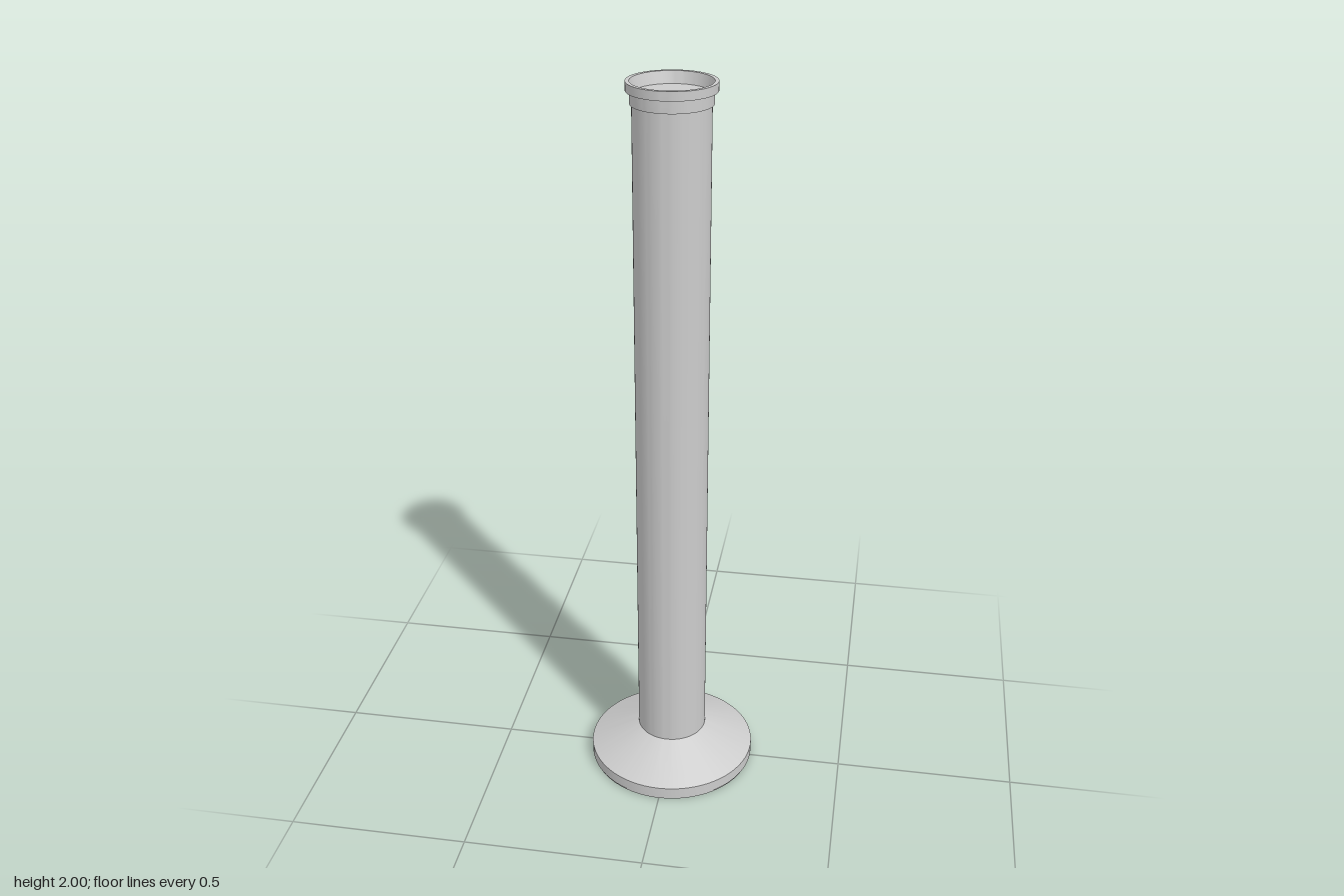
import * as THREE from 'three';
import { toCreasedNormals } from 'three/addons/utils/BufferGeometryUtils.js';

const SEGMENTS = 72;
const material = new THREE.MeshStandardMaterial({ color: 0xcccccc });

// Turned part from [radius, height] pairs, outside surface running upwards
function turned(name, profile) {
  const points = profile.map(([r, y]) => new THREE.Vector2(r, y));
  const geometry = toCreasedNormals(new THREE.LatheGeometry(points, SEGMENTS), Math.PI / 9);
  const mesh = new THREE.Mesh(geometry, material);
  mesh.name = name;
  return mesh;
}

export function createModel() {
  const model = new THREE.Group();
  model.name = 'column';

  // Disc foot with a slightly recessed underside edge and a sloping top
  model.add(turned('foot', [
    [0, 0], [0.234, 0], [0.234, 0.006], [0.237, 0.006], [0.237, 0.038], [0.098, 0.105],
  ]));

  // Straight round shaft
  model.add(turned('shaft', [[0.098, 0.105], [0.098, 1.945]]));

  // Collar, projecting rim and the shallow tapered cup in the top
  model.add(turned('rim', [
    [0.098, 1.945], [0.103, 1.945], [0.103, 1.977], [0.113, 1.977],
    [0.113, 2], [0.103, 2], [0.095, 1.97], [0, 1.97],
  ]));

  return model;
}
